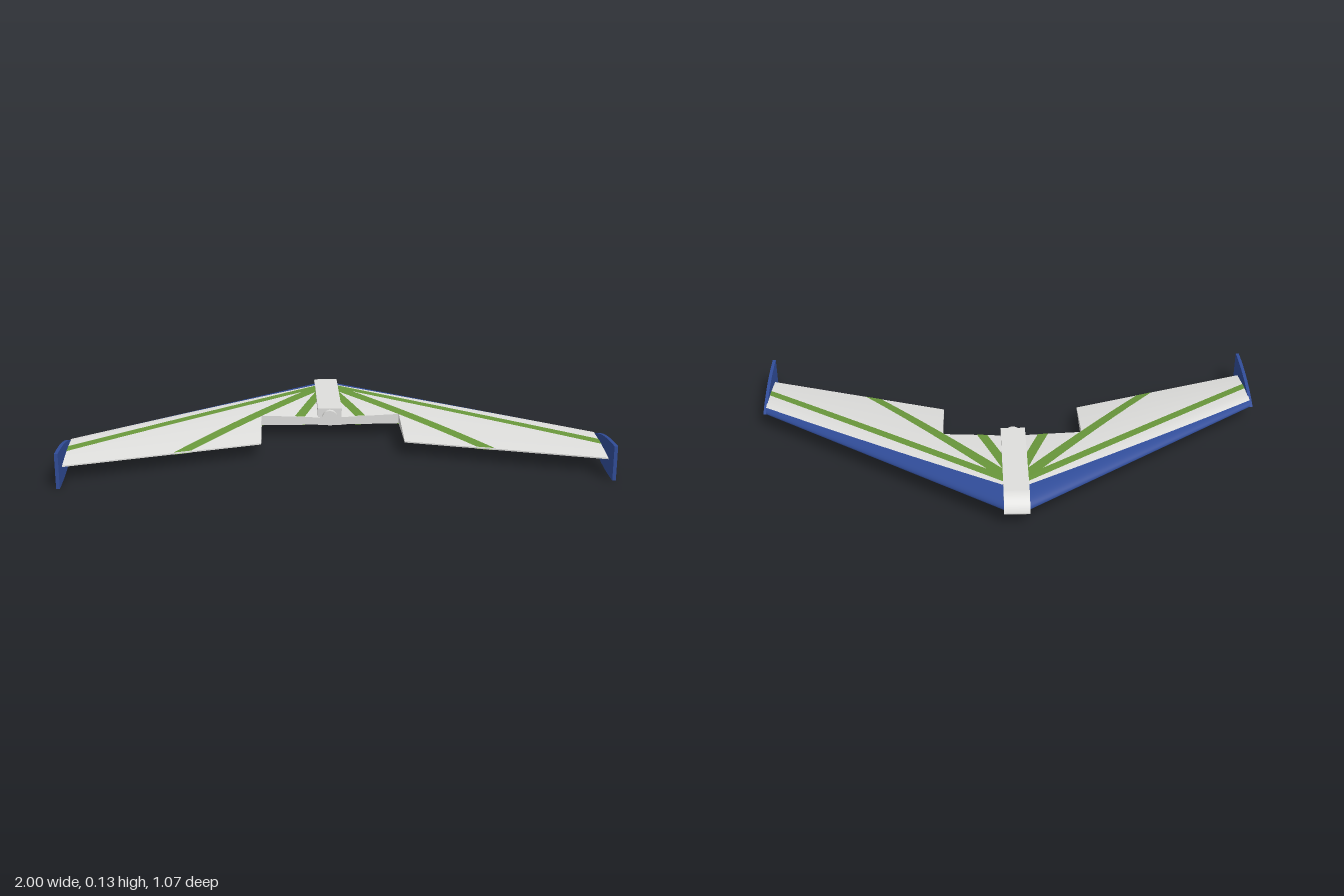
import * as THREE from 'three';

const lerp = THREE.MathUtils.lerp;
const SPAN = 0.99, ROOT = 0.04, CUT = 0.2725, CUT_Z = -0.027, MID = -0.0075, CREST = 0.22;

// Wing planform and aerofoil; x is the distance out from the centreline
const lead = x => lerp(-0.553, 0.192, x / SPAN);
const trail = x => lerp(0.128, 0.465, x / SPAN);
const blueEnd = x => lerp(0.16, 0.08, x / SPAN); // chord fraction of the coloured edge

function skinY(x, f, upper) {
  const u = x / SPAN;
  const low = lerp(0.05, 0.057, u), high = lerp(0.109, 0.087, u), nose = lerp(low, high, 0.3);
  const front = f < CREST ? Math.sqrt(Math.max(0, 1 - ((CREST - f) / CREST) ** 2)) : 1;
  if (!upper) return lerp(nose, low, front);
  if (f < CREST) return lerp(nose, high, front);
  return lerp(high, low + 0.005, ((f - CREST) / (1 - CREST)) ** 1.6);
}
const onSkin = (x, f, upper) => [x, skinY(x, f, upper), lerp(lead(x), trail(x), f)];
const fractionAt = (x, z) => (z - lead(x)) / (trail(x) - lead(x));

// Grid surface from a rule, mirrored for side = -1
function patch(name, side, material, na, nb, rule) {
  const pos = [], index = [];
  for (let i = 0; i <= na; i++) {
    for (let j = 0; j <= nb; j++) {
      const [x, y, z] = rule(i / na, j / nb);
      pos.push(side * x + MID * (1 - x / SPAN), y, z);
    }
  }
  for (let i = 0; i < na; i++) {
    for (let j = 0; j < nb; j++) {
      const a = i * (nb + 1) + j, b = a + 1, c = a + nb + 1, d = c + 1;
      if (side > 0) index.push(a, b, c, b, d, c);
      else index.push(a, c, b, b, c, d);
    }
  }
  const geo = new THREE.BufferGeometry();
  geo.setAttribute('position', new THREE.Float32BufferAttribute(pos, 3));
  geo.setIndex(index);
  geo.computeVertexNormals();
  const mesh = new THREE.Mesh(geo, material);
  mesh.name = name;
  return mesh;
}

// Stripe corners [x, z]: front start, rear start, front end, rear end
const STRIPES = [
  [[0.04, -0.4], [0.04, -0.355], [0.99, 0.312], [0.99, 0.357]],
  [[0.04, -0.39], [0.04, -0.315], [0.597, 0.33], [0.533, 0.308]],
  [[0.04, -0.33], [0.04, -0.21], [0.14, -0.028], [0.1, -0.028]],
];

function buildWing(side, mats) {
  const wing = new THREE.Group();
  wing.name = side > 0 ? 'leftWing' : 'rightWing';
  const add = (name, mat, na, nb, rule) => wing.add(patch(name, side, mat, na, nb, rule));

  // Rounded leading edge, wrapping from underside to top
  add('leadingEdge', mats.blue, 16, 28, (a, b) => {
    const x = lerp(ROOT, SPAN, a), t = b * 2 - 1;
    return onSkin(x, blueEnd(x) * t * t, t > 0);
  });

  // Short centre panel and full-chord outer panel
  const panels = [
    ['inner', ROOT, CUT, x => fractionAt(x, CUT_Z)],
    ['outer', CUT, SPAN, () => 1],
  ];
  for (const [label, x0, x1, end] of panels) {
    const skin = upper => (a, b) => {
      const x = lerp(x0, x1, a);
      return onSkin(x, lerp(blueEnd(x), end(x), upper ? b : 1 - b), upper);
    };
    add(label + 'UpperSkin', mats.white, 12, 24, skin(true));
    add(label + 'LowerSkin', mats.white, 12, 24, skin(false));
    add(label + 'TrailingFace', mats.white, 12, 1, (a, b) => {
      const x = lerp(x0, x1, a);
      return onSkin(x, end(x), b < 0.5);
    });
  }

  // Ends of the outer panel
  const cutStart = fractionAt(CUT, CUT_Z);
  add('cutoutWall', mats.white, 12, 1, (a, b) => onSkin(CUT, lerp(cutStart, 1, a), b < 0.5));
  add('wingTip', mats.white, 24, 1, (a, b) => onSkin(SPAN, a * a, b > 0.5));

  // Fanned stripes on both skins
  for (const [s0, s1, e0, e1] of STRIPES) {
    for (const upper of [true, false]) {
      add(upper ? 'upperStripe' : 'lowerStripe', mats.green, 40, 4, (a, b) => {
        const v = upper ? b : 1 - b;
        const x = lerp(lerp(s0[0], e0[0], a), lerp(s1[0], e1[0], a), v);
        const z = lerp(lerp(s0[1], e0[1], a), lerp(s1[1], e1[1], a), v);
        return [x, skinY(x, fractionAt(x, z), upper) + (upper ? 0.0015 : -0.0015), z];
      });
    }
  }
  return wing;
}

// Extrudes a side outline drawn in (z, y), centred on the given x
function sidePlate(name, shape, width, x, material) {
  const geo = new THREE.ExtrudeGeometry(shape, { depth: width, bevelEnabled: false, curveSegments: 20 });
  geo.translate(0, 0, -width / 2);
  geo.rotateY(-Math.PI / 2);
  const mesh = new THREE.Mesh(geo, material);
  mesh.position.x = x;
  mesh.name = name;
  return mesh;
}

export function createModel() {
  const makeMat = (name, color) => {
    const m = new THREE.MeshStandardMaterial({ color, side: THREE.DoubleSide });
    m.name = name;
    return m;
  };
  const mats = {
    white: makeMat('offWhite', 0xdededc),
    blue: makeMat('blue', 0x304c98),
    green: makeMat('green', 0x69973b),
  };
  const model = new THREE.Group();
  model.name = 'flyingWing';

  // Fuselage pod with rounded nose
  const pod = new THREE.Shape();
  pod.moveTo(-0.03, 0.047);
  pod.lineTo(-0.03, 0.116);
  pod.lineTo(-0.465, 0.116);
  pod.bezierCurveTo(-0.5, 0.115, -0.525, 0.088, -0.535, 0.062);
  pod.quadraticCurveTo(-0.535, 0.055, -0.525, 0.054);
  pod.lineTo(-0.48, 0.047);
  pod.closePath();
  model.add(sidePlate('fuselage', pod, 0.095, MID, mats.white));

  // Rear motor
  const motor = new THREE.Mesh(new THREE.CylinderGeometry(0.03, 0.03, 0.03, 32), mats.white);
  motor.name = 'motor';
  motor.rotation.x = Math.PI / 2;
  motor.position.set(MID, 0.081, -0.026);
  model.add(motor);

  // Tip fin outline
  const fin = new THREE.Shape();
  fin.moveTo(0.19, 0.065);
  fin.quadraticCurveTo(0.325, 0.13, 0.535, 0.13);
  fin.lineTo(0.535, 0);
  fin.quadraticCurveTo(0.325, 0, 0.19, 0.065);

  for (const side of [1, -1]) {
    model.add(buildWing(side, mats));
    model.add(sidePlate(side > 0 ? 'leftFin' : 'rightFin', fin, 0.013, side * 0.9935, mats.blue));
  }
  return model;
}
